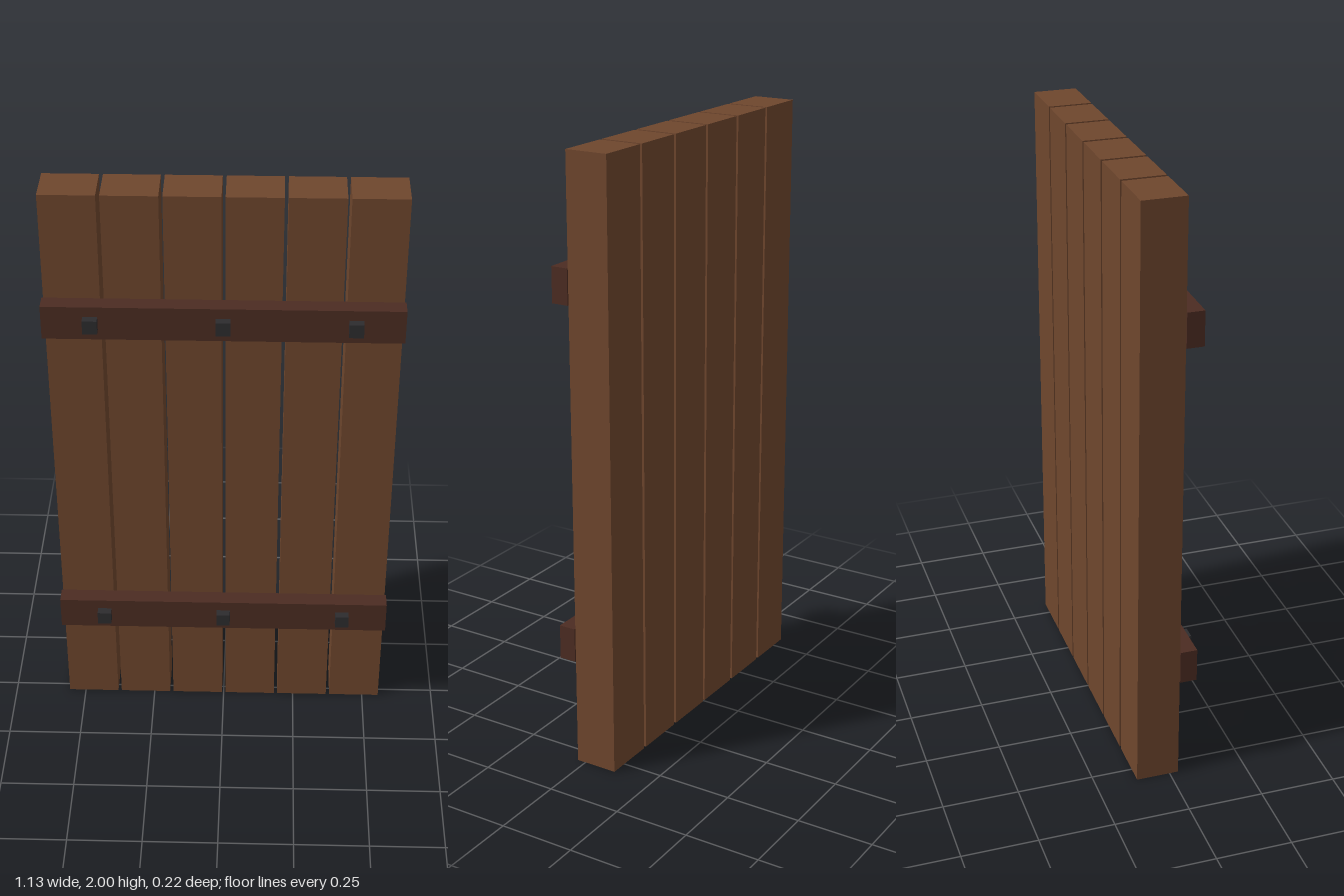
import * as THREE from 'three';

export function createModel() {
  const model = new THREE.Group();
  const plankWood = new THREE.MeshStandardMaterial({ color: 0x6e462d });
  plankWood.name = 'plankWood';
  const braceWood = new THREE.MeshStandardMaterial({ color: 0x4c2c22 });
  braceWood.name = 'braceWood';
  const darkIron = new THREE.MeshStandardMaterial({ color: 0x2d2c2e });
  darkIron.name = 'darkIron';

  const addBox = (name, material, size, position) => {
    const mesh = new THREE.Mesh(new THREE.BoxGeometry(...size), material);
    mesh.name = name;
    mesh.position.set(...position);
    model.add(mesh);
  };

  // Six upright planks with narrow gaps
  for (let i = 0; i < 6; i++) {
    addBox('plank', plankWood, [0.176, 2, 0.142], [(i - 2.5) * 0.188, 1, -0.0415]);
  }

  // Two cross braces, each held by three square bolts
  for (const y of [0.415, 1.59]) {
    addBox('crossBrace', braceWood, [1.126, 0.114, 0.056], [0, y, 0.0575]);
    for (const x of [-0.41, 0, 0.41]) {
      addBox('bolt', darkIron, [0.046, 0.046, 0.028], [x, y, 0.0985]);
    }
  }
  return model;
}
